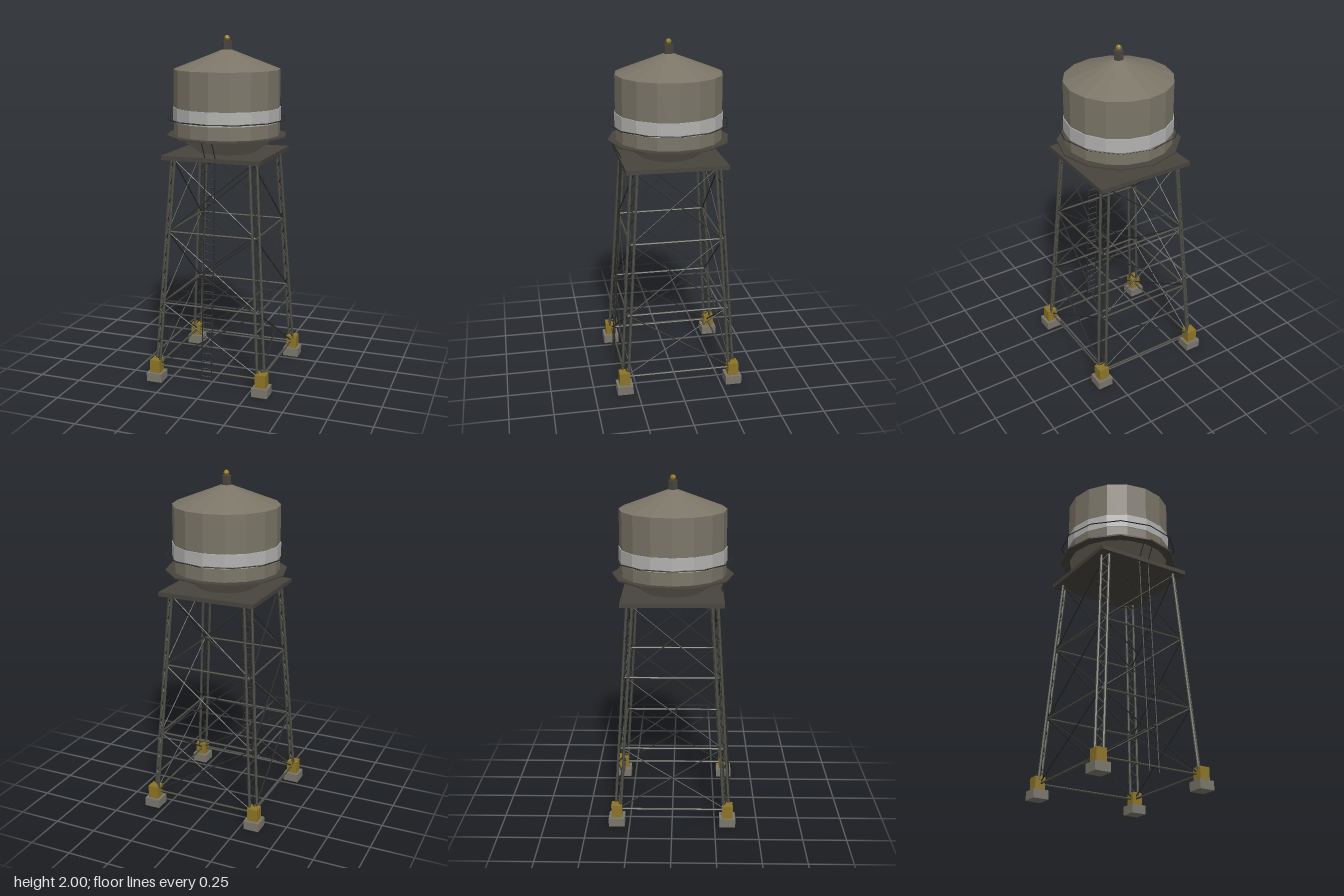
import * as THREE from 'three';
import { mergeGeometries } from 'three/addons/utils/BufferGeometryUtils.js';

const paint = (name, color, extra = {}) => {
  const m = new THREE.MeshStandardMaterial({ color, flatShading: true, ...extra });
  m.name = name;
  return m;
};

// Straight round bar between two points
function bar(a, b, r, sides = 6) {
  const dir = b.clone().sub(a);
  const g = new THREE.CylinderGeometry(r, r, dir.length(), sides);
  g.applyQuaternion(new THREE.Quaternion().setFromUnitVectors(
    new THREE.Vector3(0, 1, 0), dir.clone().normalize()));
  const mid = a.clone().add(b).multiplyScalar(0.5);
  return g.translate(mid.x, mid.y, mid.z);
}

const V = (x, y, z) => new THREE.Vector3(x, y, z);

// Half spacing of the tapering tower at a given height
const spread = (y) => 0.32 - 0.082 * (y - 0.05) / 1.27;

export function createModel() {
  const model = new THREE.Group();
  model.name = 'waterTower';

  const tankPaint = paint('tank grey', 0x7b7567);
  const bandPaint = paint('band light grey', 0xb2b2b0);
  const darkPaint = paint('platform dark grey', 0x48443e);
  const steelPaint = paint('leg steel', 0x4c4c44);
  const bracePaint = paint('brace black', 0x2c2c29);
  const goldPaint = paint('shoe ochre', 0x8c7426);
  const concretePaint = paint('concrete', 0x7a766d);

  const add = (name, geometry, material, parent = model) => {
    const mesh = new THREE.Mesh(geometry, material);
    mesh.name = name;
    parent.add(mesh);
    return mesh;
  };
  const lathe = (pts, sides) =>
    new THREE.LatheGeometry(pts.map(([r, y]) => new THREE.Vector2(r, y)), sides);

  // Tank: tapered bottom, wall and conical roof
  add('tank', lathe([[0, 1.325], [0.15, 1.325], [0.306, 1.437], [0.306, 1.81],
    [0.028, 1.918], [0, 1.918]], 16), tankPaint);
  add('tankBand', lathe([[0.304, 1.515], [0.311, 1.515], [0.311, 1.595], [0.304, 1.595]], 16), bandPaint);

  // Roof vent and its ball
  add('vent', new THREE.CylinderGeometry(0.028, 0.028, 0.06, 6).rotateY(Math.PI / 2)
    .translate(0, 1.939, 0), darkPaint);
  add('ventBall', new THREE.SphereGeometry(0.017, 8, 6).translate(0, 1.983, 0), goldPaint);

  // Walkway ring with handrail
  add('walkway', lathe([[0.295, 1.43], [0.35, 1.43], [0.35, 1.439], [0.295, 1.439], [0.295, 1.43]], 12), darkPaint);
  add('handrail', new THREE.TorusGeometry(0.346, 0.0035, 4, 12).rotateX(Math.PI / 2)
    .translate(0, 1.53, 0), bracePaint);

  // Square platform on top of the legs
  add('platform', new THREE.BoxGeometry(0.58, 0.025, 0.58).translate(0, 1.326, 0), darkPaint);

  // Four laced legs with footings
  const panels = 24, foot = 0.06, head = 1.32;
  for (const sx of [-1, 1]) for (const sz of [-1, 1]) {
    const leg = new THREE.Group();
    leg.name = (sz > 0 ? 'front' : 'back') + (sx > 0 ? 'Left' : 'Right') + 'Leg';
    model.add(leg);

    // Two chords sit side by side across the corner diagonal
    const at = (y, side) => V(sx * (spread(y) + side * 0.016), y, sz * (spread(y) - side * 0.016));
    add('chords', mergeGeometries([-1, 1].map((s) => bar(at(foot, s), at(head, s), 0.008))), steelPaint, leg);

    const lacing = [];
    for (let i = 0; i < panels; i++) {
      const y0 = foot + (head - foot) * i / panels;
      const y1 = foot + (head - foot) * (i + 1) / panels;
      const s = i % 2 ? 1 : -1;
      lacing.push(bar(at(y0, s), at(y1, -s), 0.0035, 4));
    }
    add('lacing', mergeGeometries(lacing), bracePaint, leg);

    add('shoe', new THREE.BoxGeometry(0.062, 0.078, 0.062)
      .translate(sx * 0.324, 0.089, sz * 0.324), goldPaint, leg);
    add('footing', new THREE.BoxGeometry(0.093, 0.052, 0.093)
      .translate(sx * 0.324, 0.026, sz * 0.324), concretePaint, leg);
  }

  // Horizontal struts and crossed rods on each side
  const levels = [0.09, 0.47, 0.895, 1.315];
  const struts = [], rods = [];
  const corner = (y, s) => V(s * spread(y), y, spread(y));
  for (let side = 0; side < 4; side++) {
    const turn = side * Math.PI / 2;
    for (let i = 0; i < 3; i++) {
      const [lo, hi] = [levels[i], levels[i + 1]];
      struts.push(bar(corner(lo, -1), corner(lo, 1), 0.006).rotateY(turn));
      for (const s of [-1, 1]) rods.push(bar(corner(lo, s), corner(hi, -s), 0.004, 5).rotateY(turn));
    }
  }
  add('struts', mergeGeometries(struts), steelPaint);
  add('crossRods', mergeGeometries(rods), bracePaint);

  // Ladder up the front, bending out to the walkway
  const ladder = [];
  const low = V(0, 0.05, 0.35), high = V(0, 1.335, 0.278), out = V(0, 1.435, 0.335);
  for (const x of [-0.03, 0.03]) {
    const shift = (p) => V(x, p.y, p.z);
    ladder.push(bar(shift(low), shift(high), 0.0035, 4), bar(shift(high), shift(out), 0.0035, 4));
  }
  const rungs = 28;
  for (let i = 0; i < rungs; i++) {
    const p = low.clone().lerp(high, (i + 0.5) / rungs);
    ladder.push(bar(V(-0.03, p.y, p.z), V(0.03, p.y, p.z), 0.0025, 4));
  }
  add('ladder', mergeGeometries(ladder), bracePaint);

  return model;
}
